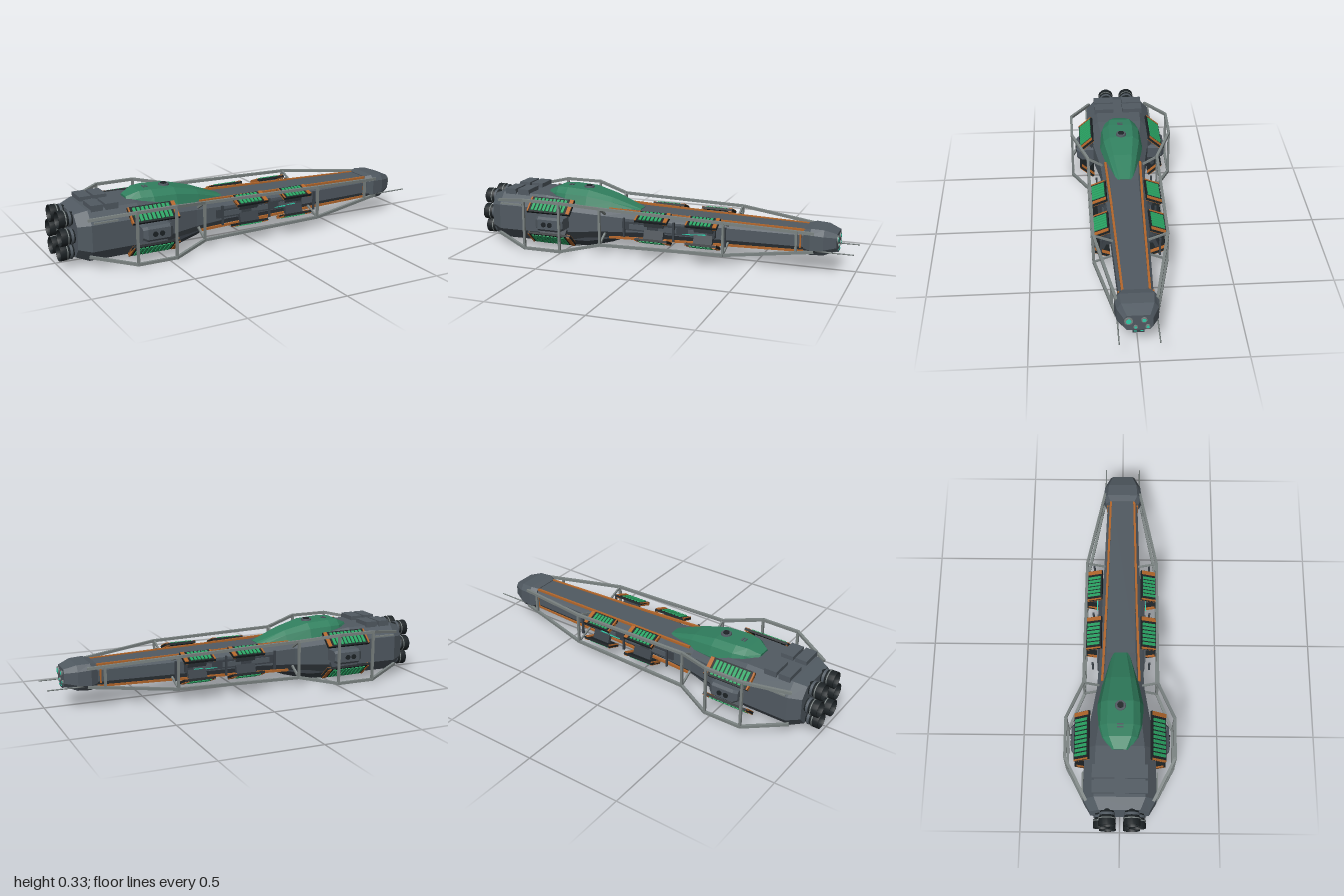
import * as THREE from 'three';

const mat = (name, color) => Object.assign(new THREE.MeshStandardMaterial({ color }), { name });
const M = {
  hull: mat('hull grey', 0x515a62),
  dark: mat('dark plating', 0x3b4249),
  frame: mat('frame grey', 0x7b8382),
  green: mat('canopy green', 0x31805f),
  cell: mat('panel green', 0x2aa564),
  black: mat('black metal', 0x1d2326),
  orange: mat('orange trim', 0xb4672b),
  teal: mat('teal light', 0x2fceaa),
};
const MID = 0.153; // height of the ship's axis

export function createModel() {
  const ship = new THREE.Group();
  ship.name = 'spaceship';

  const add = (name, geo, m, x = 0, y = 0, z = 0, parent = ship) => {
    const mesh = new THREE.Mesh(geo, m);
    mesh.name = name;
    mesh.position.set(x, y, z);
    parent.add(mesh);
    return mesh;
  };
  const box = (name, m, w, h, d, x, y, z, parent) => add(name, new THREE.BoxGeometry(w, h, d), m, x, y, z, parent);
  // Cylinder lying along x
  const rod = (name, m, r0, r1, len, x, y, z, n = 20, open = false) =>
    add(name, new THREE.CylinderGeometry(r1, r0, len, n, 1, open).rotateZ(-Math.PI / 2), m, x, y, z);
  // Square bar between two points
  const beam = (name, m, p, q, t) => {
    const a = new THREE.Vector3(...p), b = new THREE.Vector3(...q);
    const mesh = box(name, m, t, t, a.distanceTo(b) + t * 0.5, 0, 0, 0);
    mesh.position.copy(a).add(b).multiplyScalar(0.5);
    mesh.lookAt(b);
    return mesh;
  };
  // Faceted skin over sections [x, half profile from bottom to top as [z, y]]
  const loft = (name, m, sections) => {
    const rings = sections.map(([x, half]) =>
      [...half, ...half.slice().reverse().map(([z, y]) => [-z, y])].map(([z, y]) => [x, y, z]));
    const n = rings[0].length, v = [];
    for (let i = 0; i < rings.length - 1; i++)
      for (let j = 0; j < n; j++) {
        const k = (j + 1) % n, a = rings[i][j], b = rings[i + 1][j], c = rings[i + 1][k], d = rings[i][k];
        v.push(...a, ...b, ...c, ...a, ...c, ...d);
      }
    const first = rings[0], last = rings[rings.length - 1];
    for (let j = 1; j < n - 1; j++) {
      v.push(...first[0], ...first[j], ...first[j + 1]);
      v.push(...last[0], ...last[j + 1], ...last[j]);
    }
    const g = new THREE.BufferGeometry();
    g.setAttribute('position', new THREE.Float32BufferAttribute(v, 3));
    g.computeVertexNormals();
    return add(name, g, m);
  };
  // Octagonal section: bottom, top, half width, flat half width, chamfer height
  const oct = (x, yb, yt, w, f, c) => [x, [[f, yb], [w, yb + c], [w, yt - c], [f, yt]]];

  // Main hull and nose
  loft('hull', M.hull, [
    oct(-0.93, 0.05, 0.262, 0.145, 0.1, 0.05), oct(-0.87, 0.03, 0.28, 0.18, 0.125, 0.06),
    oct(-0.62, 0.03, 0.28, 0.175, 0.12, 0.06), oct(-0.3, 0.07, 0.235, 0.12, 0.085, 0.04),
    oct(-0.12, 0.085, 0.222, 0.11, 0.075, 0.035), oct(0.77, 0.1, 0.207, 0.08, 0.058, 0.025),
  ]);
  loft('nose', M.hull, [
    oct(0.75, 0.096, 0.212, 0.088, 0.065, 0.025), oct(0.785, 0.087, 0.22, 0.104, 0.08, 0.028),
    oct(0.85, 0.09, 0.217, 0.096, 0.075, 0.03), oct(0.91, 0.112, 0.197, 0.066, 0.052, 0.018),
  ]);

  // Green canopy and the matching belly blister
  const dome = [
    [-0.64, 0.055, 0.29], [-0.58, 0.1, 0.316], [-0.52, 0.118, 0.318], [-0.4, 0.115, 0.312],
    [-0.27, 0.088, 0.28], [-0.12, 0.05, 0.225],
  ];
  loft('canopy', M.green, dome.map(([x, w, y]) =>
    [x, [[w * 0.9, 0.19], [w, 0.19 + (y - 0.19) * 0.36], [w * 0.84, 0.19 + (y - 0.19) * 0.78], [w * 0.55, y]]]));
  loft('belly', M.dark, dome.map(([x, w, y]) => {
    const b = Math.max(0.008, 0.322 - y), u = w * 0.88;
    return [x, [[u * 0.7, b], [u, b + (0.12 - b) * 0.3], [u, b + (0.12 - b) * 0.7], [u * 0.9, 0.12]]];
  }));
  add('hatch', new THREE.CylinderGeometry(0.026, 0.029, 0.016, 20), M.hull, -0.425, 0.313, 0);
  add('hatchCap', new THREE.CylinderGeometry(0.016, 0.016, 0.012, 16), M.black, -0.425, 0.32, 0);
  for (const x of [-0.535, -0.52]) box('canopyVent', M.hull, 0.008, 0.006, 0.03, x, 0.318, 0);
  for (const s of [-1, 1])
    add('bellyDisc', new THREE.CylinderGeometry(0.028, 0.028, 0.012, 20), M.frame, -0.48, 0.006, s * 0.043);

  // Six engine bells: two columns of three
  for (const s of [-1, 1])
    for (const r of [-1, 0, 1]) {
      const y = MID + r * 0.081, z = s * (r ? 0.06 : 0.087);
      const pts = [[0.026, 0.03], [0.034, 0.0], [0.036, -0.02], [0.041, -0.024], [0.042, -0.064],
        [0.037, -0.064], [0.03, -0.035], [0.0, -0.035]].map(([a, b]) => new THREE.Vector2(a, -b));
      const bell = add('engineBell', new THREE.LatheGeometry(pts, 20).rotateZ(Math.PI / 2), M.black, -0.936, y, z);
      bell.material = M.black;
      rod('engineCollar', M.hull, 0.039, 0.039, 0.012, -0.945, y, z);
      rod('engineRing', M.frame, 0.0425, 0.0425, 0.005, -0.966, y, z);
      rod('engineGlow', M.teal, 0.026, 0.026, 0.008, -0.974, y, z);
    }

  // Raised plates on the stern
  for (const s of [-1, 1]) {
    box('sternPlate', M.hull, 0.06, 0.03, 0.11, -0.825, 0.287, s * 0.08);
    box('sternPlate', M.hull, 0.065, 0.03, 0.11, -0.75, 0.287, s * 0.08);
    box('sternPlate', M.dark, 0.05, 0.014, 0.05, -0.7, 0.033, s * 0.08);
  }

  // Slatted panel: dark tray, green slats, orange ends and edges
  const panel = (x0, x1, y, z, w, a, sy, sz, slats) => {
    const p = new THREE.Group(), len = x1 - x0;
    p.name = 'slattedPanel';
    p.position.set((x0 + x1) / 2, MID + sy * y, sz * z);
    p.rotation.x = sz * (sy > 0 ? a : Math.PI - a);
    ship.add(p);
    box('panelTray', M.black, len, 0.012, w, 0, 0, 0, p);
    const step = (len - 0.05) / slats;
    for (let i = 0; i < slats; i++)
      box('panelSlat', M.cell, step * 0.66, 0.006, w * 0.82, -len / 2 + 0.018 + step * (i + 0.5), 0.008, 0, p);
    box('panelEnd', M.orange, 0.02, 0.02, w * 0.96, len / 2 - 0.012, 0, 0, p);
    box('panelEnd', M.orange, 0.008, 0.018, w * 0.96, -len / 2 + 0.004, 0, 0, p);
    box('panelMount', M.dark, len * 0.6, 0.05, 0.02, 0, -0.03, 0, p);
  };

  for (const sz of [-1, 1]) {
    for (const sy of [-1, 1]) {
      const Y = h => MID + sy * h;
      panel(-0.685, -0.44, 0.087, 0.189, 0.095, 0.72, sy, sz, 9);
      panel(-0.1, 0.075, 0.062, 0.14, 0.084, 0.38, sy, sz, 6);
      panel(0.17, 0.335, 0.06, 0.14, 0.084, 0.38, sy, sz, 6);

      // Outer guard rail
      const rail = [[-0.88, 0.09, 0.165], [-0.68, 0.128, 0.269], [-0.48, 0.128, 0.269], [-0.29, 0.096, 0.187],
        [0.37, 0.082, 0.182], [0.8, 0.046, 0.095]].map(([x, h, z]) => [x, Y(h), sz * z]);
      for (let i = 0; i < rail.length - 1; i++) beam('guardRail', M.frame, rail[i], rail[i + 1], 0.014);
      beam('railStrut', M.frame, rail[3], [-0.29, Y(0.05), sz * 0.11], 0.01);
      beam('railStrut', M.frame, rail[4], [0.37, Y(0.045), sz * 0.09], 0.009);

      // Orange conduit along the hull edge
      beam('conduit', M.orange, [-0.27, Y(0.076), sz * 0.094], [0.1, Y(0.067), sz * 0.08], 0.012);
      beam('conduit', M.orange, [0.1, Y(0.067), sz * 0.08], [0.76, Y(0.053), sz * 0.063], 0.011);
    }
    // Upright posts joining the rails
    for (const [x, h, z] of [[-0.68, 0.128, 0.269], [-0.48, 0.128, 0.269], [-0.29, 0.096, 0.187],
      [0.37, 0.082, 0.182], [0.72, 0.053, 0.112]])
      box('guardPost', M.frame, 0.012, h * 2, 0.012, x, MID, sz * z);
    for (const x of [-0.17, 0.1, 0.37]) box('sidePost', M.dark, 0.01, 0.1, 0.01, x, MID, sz * 0.145);
    box('noseBand', M.orange, 0.008, 0.07, 0.008, 0.735, MID, sz * 0.081);

    // Equipment strip along the side, with a teal marker
    box('sideStrip', M.dark, 0.5, 0.044, 0.03, 0.06, MID, sz * 0.105);
    for (let i = 0; i < 3; i++) box('sideBlock', M.hull, 0.1, 0.026, 0.02, -0.1 + i * 0.16, MID, sz * 0.115);
    const tri = new THREE.Shape([[0.14, 0.142], [0.28, 0.138], [0.26, 0.15]].map(p => new THREE.Vector2(...p)));
    add('sideMarker', new THREE.ExtrudeGeometry(tri, { depth: 0.006, bevelEnabled: false }), M.teal,
      0, 0, sz > 0 ? 0.124 : -0.13);

    // Side pod with two ports
    loft('sidePod', M.hull, [
      [-0.635, 0.11], [-0.615, 0.115], [-0.5, 0.115], [-0.48, 0.11],
    ].map(([x], i) => {
      const w = i % 3 ? 0.245 : 0.228, h = i % 3 ? 0.038 : 0.03;
      return [x, [[w - 0.012, MID - h], [w, MID - h + 0.012], [w, MID + h - 0.012], [w - 0.012, MID + h]]];
    })).visible = true;
    for (const x of [-0.58, -0.545])
      add('podPort', new THREE.CylinderGeometry(0.013, 0.013, 0.008, 16).rotateX(Math.PI / 2), M.black,
        x, MID, sz * 0.246);
    box('sternRail', M.frame, 0.12, 0.008, 0.008, -0.8, 0.23, sz * 0.182);

    // Forward antenna
    rod('antenna', M.frame, 0.004, 0.003, 0.22, 0.89, 0.112, sz * 0.092, 8);
  }

  // Sensor lenses and light plate on the nose
  for (const [z, y, r] of [[0.045, 0.168, 0.02], [-0.025, 0.172, 0.014], [0.013, 0.132, 0.01], [-0.042, 0.132, 0.011]]) {
    rod('lensRing', M.frame, r, r, 0.016, 0.908, y, z);
    rod('lens', M.teal, r * 0.62, r * 0.62, 0.006, 0.915, y, z);
  }
  box('nosePlate', M.dark, 0.03, 0.014, 0.054, 0.898, 0.106, 0);
  for (const s of [-1, 1]) box('noseLight', M.teal, 0.004, 0.004, 0.014, 0.914, 0.109, s * 0.015);

  return ship;
}
